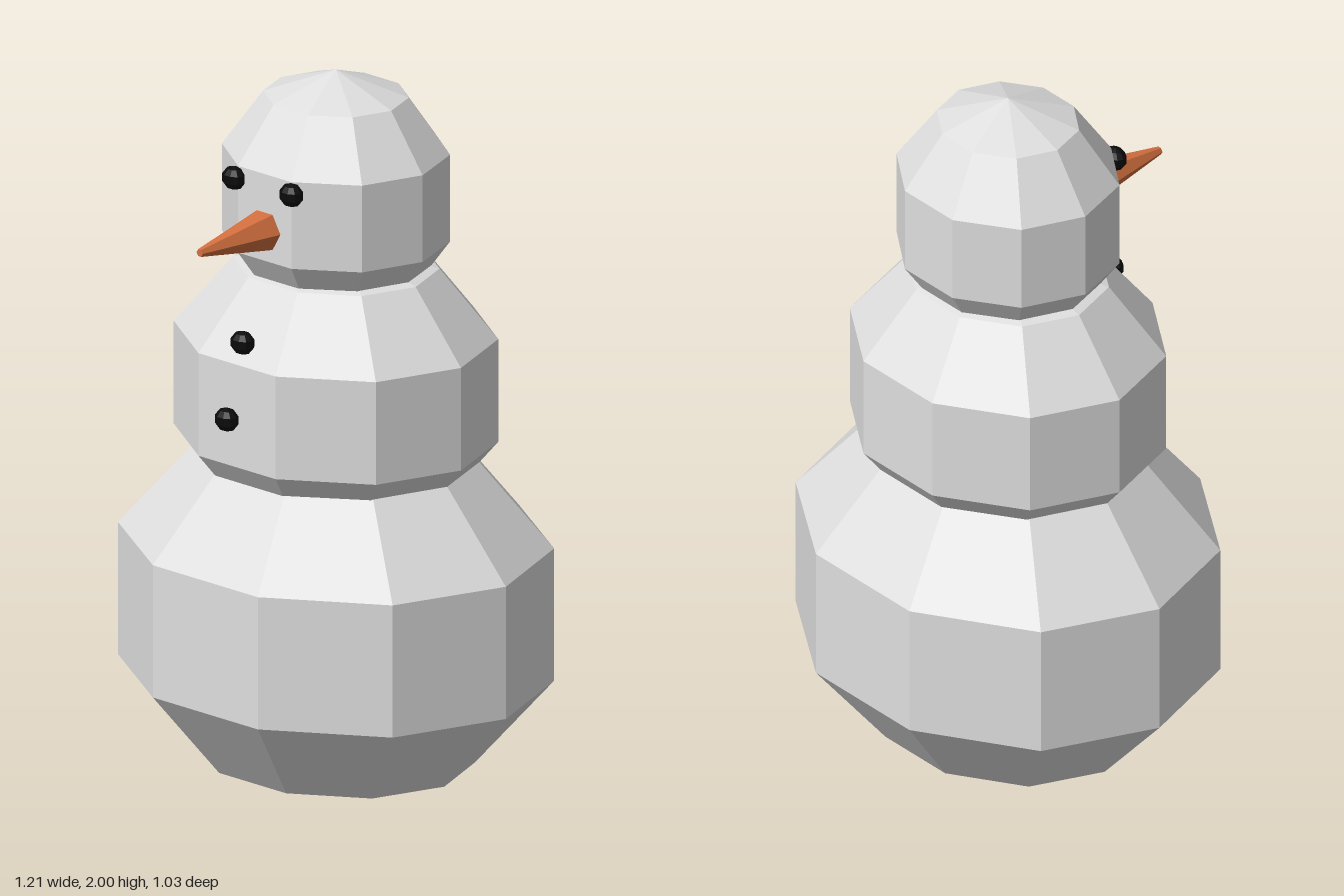
import * as THREE from 'three';

const snow = new THREE.MeshStandardMaterial({ name: 'snow', color: 0xdedede, flatShading: true });
const coal = new THREE.MeshStandardMaterial({ name: 'coal', color: 0x0a0a0a, flatShading: true });
const carrot = new THREE.MeshStandardMaterial({ name: 'carrot', color: 0xd4703f, flatShading: true });

// Ten-sided faceted ball: wide middle band, sloped shoulders, shallow pole caps.
// r = [x radius, z radius]; band, shoulder and cap are half heights from the centre.
function facetedBall(name, material, [rx, rz], [band, shoulder, cap], [x, y, z], neck = 0.638) {
  const profile = [
    [0, -cap], [neck, -shoulder], [1, -band],
    [1, band], [neck, shoulder], [0, cap],
  ].map(([r, h]) => new THREE.Vector2(r, h));
  const geometry = new THREE.LatheGeometry(profile, 10, Math.PI / 2);
  geometry.scale(rx, 1, rz);
  const mesh = new THREE.Mesh(geometry, material);
  mesh.name = name;
  mesh.position.set(x, y, z);
  return mesh;
}

export function createModel() {
  const model = new THREE.Group();
  model.name = 'snowman';

  // Three stacked snowballs
  model.add(
    facetedBall('lowerBody', snow, [0.606, 0.528], [0.183, 0.422, 0.528], [0, 0.528, -0.012]),
    facetedBall('upperBody', snow, [0.446, 0.4], [0.142, 0.328, 0.41], [0, 1.137, -0.012]),
    facetedBall('head', snow, [0.309, 0.288], [0.12, 0.272, 0.34], [0, 1.66, -0.012]),
  );

  // Coal eyes and buttons
  const coals = [
    ['leftEye', 0.102, 1.748, 0.27],
    ['rightEye', -0.102, 1.748, 0.27],
    ['upperButton', 0, 1.335, 0.347],
    ['lowerButton', 0, 1.138, 0.408],
  ];
  for (const [name, ...position] of coals) {
    model.add(facetedBall(name, coal, [0.034, 0.027], [0.011, 0.026, 0.033], position));
  }

  // Six-sided carrot nose with a blunt tip
  const noseGeometry = new THREE.CylinderGeometry(0.011, 0.06, 0.272, 6, 1, false, Math.PI / 2);
  noseGeometry.rotateX(Math.PI / 2);
  const nose = new THREE.Mesh(noseGeometry, carrot);
  nose.name = 'nose';
  nose.position.set(0, 1.625, 0.376);
  model.add(nose);

  return model;
}
